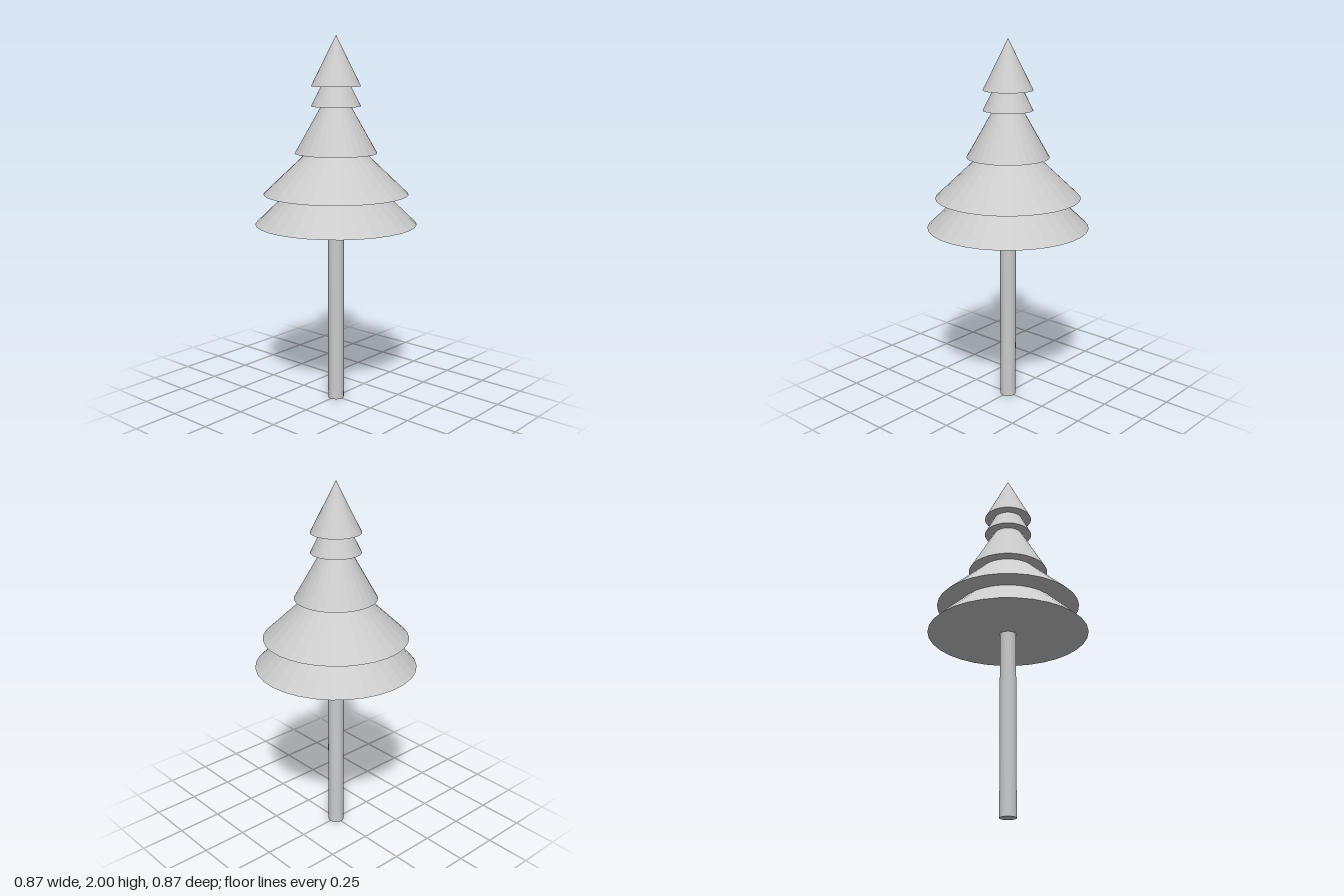
import * as THREE from 'three';

const SIDES = 32;

export function createModel() {
  const tree = new THREE.Group();
  tree.name = 'tree';
  const material = new THREE.MeshStandardMaterial({ color: 0xcccccc, flatShading: true });

  const add = (name, geometry, baseY, height) => {
    const mesh = new THREE.Mesh(geometry, material);
    mesh.name = name;
    mesh.position.y = baseY + height / 2;
    tree.add(mesh);
  };

  // Straight round trunk
  add('trunk', new THREE.CylinderGeometry(0.044, 0.044, 1, SIDES), 0, 1);

  // Overlapping foliage cones, bottom to top: base height, base radius, cone height
  const tiers = [
    [1.0, 0.437, 0.42],
    [1.163, 0.391, 0.37],
    [1.382, 0.221, 0.39],
    [1.63, 0.133, 0.265],
    [1.735, 0.133, 0.265],
  ];
  tiers.forEach(([baseY, radius, height], i) => {
    add(`foliageTier${i + 1}`, new THREE.ConeGeometry(radius, height, SIDES), baseY, height);
  });

  return tree;
}
